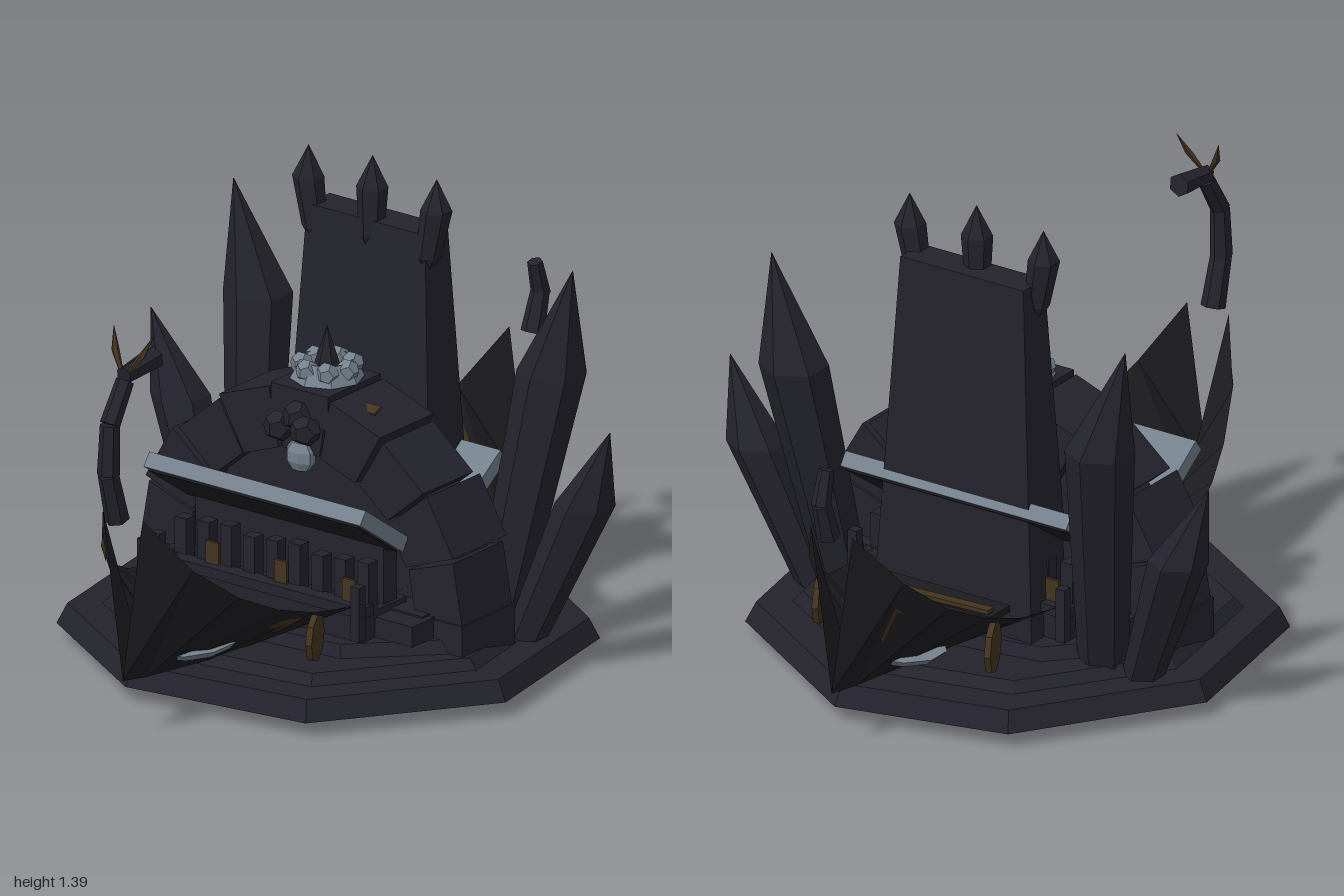
import * as THREE from 'three';

const mat = (name, color, extra = {}) => {
  const m = new THREE.MeshStandardMaterial({ color, flatShading: true, side: THREE.DoubleSide, ...extra });
  m.name = name;
  return m;
};

export function createModel() {
  const stone = mat('dark stone', 0x24232d);
  const timber = mat('blackened timber', 0x1d1d21);
  const slate = mat('pale slate', 0x74818d);
  const gold = mat('tarnished gold', 0x44341f);
  const root = new THREE.Group();
  const V = (x, y, z) => new THREE.Vector3(x, y, z);

  const add = (name, geo, m, x = 0, y = 0, z = 0, parent = root) => {
    const mesh = new THREE.Mesh(geo, m);
    mesh.name = name;
    mesh.position.set(x, y, z);
    parent.add(mesh);
    return mesh;
  };
  const box = (name, m, w, h, d, x, y, z, parent) => add(name, new THREE.BoxGeometry(w, h, d), m, x, y, z, parent);

  // Faceted shaft through rows of [x, y, z, radius], with horizontal rings
  const shaft = (name, m, rows, sides = 6) => {
    const n = rows.length - 1;
    const g = new THREE.CylinderGeometry(1, 1, 1, sides, n, true);
    const p = g.attributes.position;
    for (let i = 0; i < p.count; i++) {
      const [x, y, z, r] = rows[Math.round((p.getY(i) + 0.5) * n)];
      p.setXYZ(i, x + p.getX(i) * r, y, z + p.getZ(i) * r);
    }
    g.computeVertexNormals();
    return add(name, g, m);
  };

  // Tapered limb between two points
  const limb = (name, m, a, b, r0, r1, sides = 6) => {
    const d = b.clone().sub(a);
    const mesh = add(name, new THREE.CylinderGeometry(r1, r0, d.length(), sides), m);
    mesh.position.copy(a).add(b).multiplyScalar(0.5);
    mesh.quaternion.setFromUnitVectors(V(0, 1, 0), d.normalize());
  };

  // Eight-sided stepped platform
  const outline = [[0.735, 0.13], [0.4, 0.6], [-0.17, 0.68], [-0.63, 0.4], [-0.73, -0.15], [-0.4, -0.64], [0.1, -0.76], [0.63, -0.43]];
  const tier = (name, y0, y1, sx, sz, bevel) => {
    const g = new THREE.CylinderGeometry(1, 1, 1, 8);
    const p = g.attributes.position;
    for (let i = 0; i < p.count; i++) {
      const top = p.getY(i) > 0, x = p.getX(i), z = p.getZ(i);
      const c = Math.hypot(x, z) < 0.1 ? [0, 0] : outline[(Math.round(Math.atan2(z, x) / (Math.PI / 4)) + 8) % 8];
      const k = top ? bevel : 1;
      p.setXYZ(i, c[0] * sx * k, top ? y1 : y0, c[1] * sz * k);
    }
    g.computeVertexNormals();
    add(name, g, stone);
  };
  tier('platformBase', 0.045, 0.105, 1, 1, 0.96);
  tier('platformStep', 0.1, 0.135, 0.84, 0.82, 0.95);
  tier('platformTop', 0.13, 0.17, 0.78, 0.55, 0.95);
  box('archFooting', stone, 0.9, 0.09, 0.3, 0, 0.19, -0.01);

  // Underside: pale ragged ring, dark rocks and two square frames
  const ring = new THREE.RingGeometry(0.13, 0.25, 18);
  ring.rotateX(Math.PI / 2);
  const rp = ring.attributes.position;
  for (let i = 0; i < rp.count; i++) {
    const k = 1 + 0.12 * Math.sin(i * 2.7);
    rp.setXYZ(i, rp.getX(i) * k, 0, rp.getZ(i) * k);
  }
  add('undersideRing', ring, slate, 0, 0.039, -0.02);
  for (let i = 0; i < 11; i++) {
    const a = i * Math.PI * 2 / 11;
    const rock = add('undersideRock', new THREE.DodecahedronGeometry(0.042), stone, Math.cos(a) * 0.11, 0.03, -0.02 + Math.sin(a) * 0.11);
    rock.scale.y = 0.75;
    rock.rotation.y = i * 1.3;
  }
  for (const s of [-1, 1]) {
    box('undersideFrame', slate, 0.25, 0.009, 0.22, s * 0.48, 0.04, 0);
    box('undersidePanel', timber, 0.2, 0.008, 0.17, s * 0.48, 0.036, 0);
  }

  // Arch of wedge blocks, with a recessed wall behind
  const blocks = 9, gap = 0.012;
  for (let i = 0; i < blocks; i++) {
    const a0 = Math.PI * i / blocks + gap, a1 = Math.PI * (i + 1) / blocks - gap;
    const R = 0.565 + (i % 2 ? 0.012 : 0), r = 0.4;
    const s = new THREE.Shape([[R, a0], [R, a1], [r, a1], [r, a0]].map(([q, a]) => new THREE.Vector2(Math.cos(a) * q, Math.sin(a) * q)));
    const d = i % 2 ? 0.24 : 0.225;
    add('archBlock', new THREE.ExtrudeGeometry(s, { depth: d, bevelEnabled: false }), stone, 0, 0.215, -0.005 - d / 2);
  }
  for (const s of [-1, 1]) box('archPier', stone, 0.17, 0.13, 0.24, s * 0.485, 0.16, -0.005);
  const wall = new THREE.CylinderGeometry(0.54, 0.54, 0.12, 18, 1, false, 0, Math.PI);
  wall.rotateX(Math.PI / 2);
  wall.rotateZ(Math.PI / 2 - Math.PI / 2);
  const wallShape = new THREE.Shape();
  wallShape.absarc(0, 0, 0.53, 0, Math.PI);
  add('archWall', new THREE.ExtrudeGeometry(wallShape, { depth: 0.13, bevelEnabled: false, curveSegments: 9 }), stone, 0, 0.215, -0.09);

  // Keystone crown
  box('keystone', stone, 0.2, 0.1, 0.24, 0, 0.745, -0.005);
  add('crownBase', new THREE.CylinderGeometry(0.09, 0.085, 0.04, 8), stone, 0, 0.8, -0.01);
  add('crownRing', new THREE.CylinderGeometry(0.075, 0.105, 0.055, 8, 1, true), slate, 0, 0.825, -0.01);
  for (let i = 0; i < 7; i++) {
    const a = i * Math.PI * 2 / 7;
    add('crownStone', new THREE.DodecahedronGeometry(0.033), slate, Math.cos(a) * 0.072, 0.832, -0.01 + Math.sin(a) * 0.072);
  }
  add('crownSpike', new THREE.ConeGeometry(0.045, 0.14, 6), stone, 0, 0.88, -0.01);
  add('archLamp', new THREE.SphereGeometry(0.05, 7, 5), slate, 0, 0.6, 0.11).scale.z = 0.6;
  for (const [x, y, z] of [[-0.06, 0.68, 0.13], [0.04, 0.69, 0.14], [0, 0.72, 0.12]])
    add('archRubble', new THREE.DodecahedronGeometry(0.045), stone, x, y, z);
  box('archRune', gold, 0.05, 0.035, 0.008, 0.185, 0.755, 0.03).rotation.x = -1.2;

  // Tilted canopies and the colonnades below them, front and back
  for (const s of [1, -1]) {
    const side = new THREE.Group();
    side.name = s > 0 ? 'frontHall' : 'backHall';
    if (s < 0) side.rotation.y = Math.PI;
    root.add(side);
    const canopy = new THREE.Group();
    canopy.name = 'canopy';
    canopy.position.set(0, 0.495, 0.22);
    canopy.rotation.x = -0.61;
    side.add(canopy);
    box('canopySlab', slate, 0.76, 0.045, 0.235, 0, 0, 0, canopy);
    box('canopyPanel', timber, 0.735, 0.008, 0.215, 0, -0.024, 0, canopy);
    box('hallFloor', stone, 0.68, 0.1, 0.2, 0, 0.2, 0.17, side);
    box('hallWall', stone, 0.66, 0.25, 0.06, 0, 0.32, 0.13, side);
    for (let i = 0; i < 9; i++) {
      const x = -0.32 + i * 0.08;
      box('hallPost', stone, 0.04, 0.14 + (i % 3) * 0.015, 0.04, x, 0.31, 0.22, side);
      if (i % 3 === 1) box('hallInlay', gold, 0.045, 0.08, 0.009, x + 0.04, 0.3, 0.248, side);
    }
    box('hallRail', stone, 0.7, 0.03, 0.05, 0, 0.26, 0.255, side);
    for (const e of [-1, 1]) {
      box('cornerPost', stone, 0.03, 0.16, 0.03, e * 0.35, 0.27, 0.3, side);
      box('sideSteps', stone, 0.14, 0.06, 0.1, e * 0.4, 0.2, 0.16, side);
    }
  }

  // Tapered back tower with three spear finials
  const tower = new THREE.BoxGeometry(1, 1.11, 1);
  const tp = tower.attributes.position;
  for (let i = 0; i < tp.count; i++) {
    const up = tp.getY(i) > 0;
    tp.setX(i, Math.sign(tp.getX(i)) * (up ? 0.207 : 0.27));
    tp.setZ(i, tp.getZ(i) > 0 ? (up ? -0.185 : -0.13) : (up ? -0.287 : -0.335));
  }
  tower.computeVertexNormals();
  add('tower', tower, stone, 0, 0.655, 0);
  for (const x of [-1, 0, 1]) {
    const h = x ? 0 : 0.02;
    shaft('towerFinial', stone, [[x * 0.185, 1.06, -0.21, 0.001], [x * 0.2, 1.14 + h, -0.21, 0.036], [x * 0.225, 1.28 + h, -0.213, 0.045], [x * 0.225, 1.37 + h, -0.215, 0.001]]);
  }

  // Leaning crystals
  for (const s of [-1, 1]) {
    shaft('tallCrystal', stone, [[s * 0.43, 0.1, -0.22, 0.07], [s * 0.515, 0.83, -0.36, 0.098], [s * 0.595, 1.145, -0.352, 0.001]]);
    shaft('shortCrystal', stone, [[s * 0.55, 0.1, -0.2, 0.06], [s * 0.71, 0.51, -0.26, 0.085], [s * 0.805, 0.745, -0.25, 0.001]]);
  }

  // Boat hull: V sections [z, half width, gunwale y, keel y]
  const stations = [[0.91, 0.07, 0.66, 0.17], [0.8, 0.16, 0.5, 0.15], [0.67, 0.22, 0.395, 0.135], [0.55, 0.265, 0.335, 0.12],
    [0.43, 0.3, 0.3, 0.11], [0.28, 0.325, 0.28, 0.1], [0, 0.335, 0.27, 0.1], [-0.28, 0.325, 0.28, 0.1], [-0.43, 0.3, 0.295, 0.11],
    [-0.55, 0.265, 0.33, 0.12], [-0.67, 0.22, 0.39, 0.135], [-0.8, 0.16, 0.5, 0.15], [-0.92, 0.07, 0.66, 0.17]];
  const hullPoint = (z, t, s) => {
    let i = 0;
    while (i < stations.length - 2 && z < stations[i + 1][0]) i++;
    const a = stations[i], b = stations[i + 1], k = (z - a[0]) / (b[0] - a[0]);
    const [w, top, keel] = [1, 2, 3].map((j) => a[j] + (b[j] - a[j]) * k);
    return V(s * w * t, keel + (top - keel) * t, z);
  };
  const surface = (name, m, quads) => {
    const pts = quads.flatMap(([a, b, c, d]) => [a, b, c, a, c, d]);
    const g = new THREE.BufferGeometry().setFromPoints(pts);
    g.computeVertexNormals();
    add(name, g, m);
  };
  for (const s of [-1, 1]) {
    const quads = [];
    for (let i = 0; i < stations.length - 1; i++) {
      const z0 = stations[i][0], z1 = stations[i + 1][0];
      const q = [hullPoint(z0, 0, s), hullPoint(z1, 0, s), hullPoint(z1, 1, s), hullPoint(z0, 1, s)];
      quads.push(s > 0 ? q : q.reverse());
    }
    surface(s > 0 ? 'leftHullSide' : 'rightHullSide', timber, quads);
  }

  // Gold hull patches and round shields
  const patch = (z0, z1, t0, t1, s) => {
    const off = V(s * 0.006, -0.003, 0);
    surface('hullPatch', gold, [[[z0, t0], [z1, t0 + 0.06], [z1, t1], [z0, t1 - 0.06]].map(([z, t]) => hullPoint(z, t, s).add(off))]);
  };
  patch(-0.69, -0.8, 0.4, 0.78, -1);
  patch(0.88, 0.81, 0.8, 0.98, -1);
  patch(0.5, 0.44, 0.5, 0.9, 1);
  for (const s of [-1, 1]) for (const [x, y, z, r] of [[0.3, 0.225, 0.43, 0.068], [0.29, 0.25, -0.555, 0.075]]) {
    const shield = add('roundShield', new THREE.CylinderGeometry(r, r, 0.018, 8), gold, s * x, y, z);
    shield.rotation.set(Math.PI / 8, 0, Math.PI / 2, 'ZYX');
  }
  box('rearBench', gold, 0.36, 0.012, 0.03, -0.03, 0.3, -0.46).rotation.y = 0.06;
  box('rearDeck', timber, 0.44, 0.02, 0.1, 0, 0.28, -0.42);

  // Pale pools lying in the two hull ends
  for (const [z, rx, rz] of [[0.59, 0.115, 0.16], [-0.595, 0.145, 0.12]])
    add('hullPool', new THREE.CylinderGeometry(1, 0.85, 0.02, 10), slate, 0, 0.19, z).scale.set(rx, 1, rz);

  // Prow neck, head and horns; stern tail
  const neck = [V(0, 0.655, 0.935), V(0, 0.8, 0.975), V(0, 0.945, 0.968), V(0, 1.055, 0.9)];
  for (let i = 0; i < 3; i++) limb('prowNeck', stone, neck[i], neck[i + 1], 0.035 - i * 0.003, 0.03 - i * 0.002);
  limb('prowHead', stone, V(0, 1.07, 0.905), V(0, 1.085, 0.77), 0.026, 0.034);
  for (const s of [-1, 1]) shaft('prowHorn', gold, [[s * 0.015, 1.085, 0.9, 0.007], [s * 0.045, 1.13, 0.885, 0.012], [s * 0.07, 1.19, 0.86, 0.001]], 5);
  limb('sternTail', stone, V(0, 0.655, -0.935), V(0, 0.765, -0.968), 0.034, 0.027);
  limb('sternTail', stone, V(0, 0.76, -0.972), V(0, 0.86, -0.945), 0.028, 0.022);
  return root;
}
